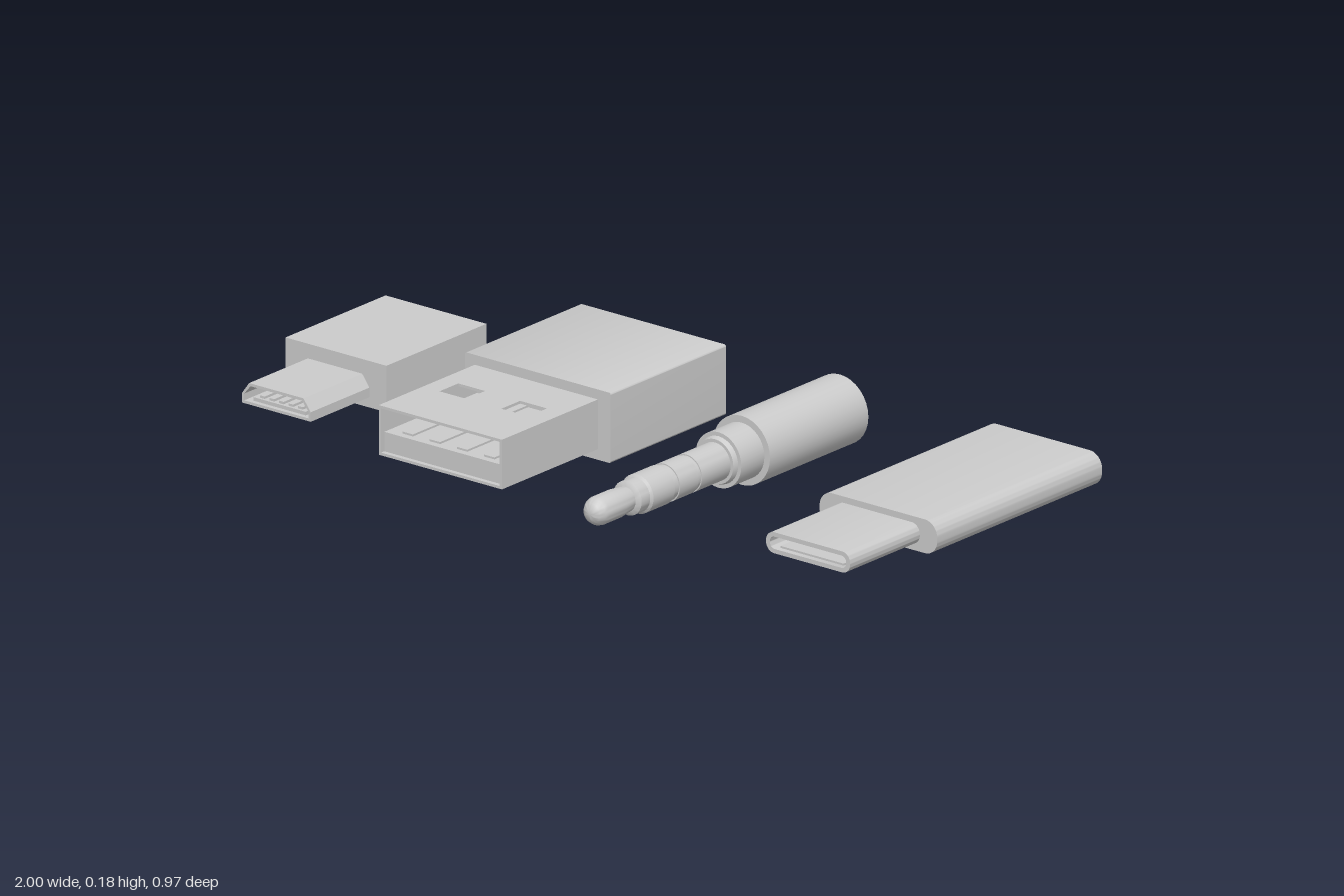
import * as THREE from 'three';
import { toCreasedNormals } from 'three/addons/utils/BufferGeometryUtils.js';

const material = new THREE.MeshStandardMaterial({ color: 0xcccccc });

function addMesh(parent, name, geometry) {
  const mesh = new THREE.Mesh(toCreasedNormals(geometry, 0.6), material);
  mesh.name = name;
  parent.add(mesh);
  return mesh;
}

// Rounded rectangle outline, usable as a Shape or as a hole
function roundRect(x0, x1, y0, y1, r) {
  const s = new THREE.Shape();
  const corners = [[x1 - r, y0 + r, -Math.PI / 2], [x1 - r, y1 - r, 0],
    [x0 + r, y1 - r, Math.PI / 2], [x0 + r, y0 + r, Math.PI]];
  s.moveTo(x0 + r, y0);
  for (const [x, y, a] of corners) s.absarc(x, y, r, a, a + Math.PI / 2, false);
  s.closePath();
  return s;
}

const polygon = (pts) => new THREE.Shape(pts.map(([x, y]) => new THREE.Vector2(x, y)));

// Extrude an xy outline from z0 to z1
function prism(shape, z0, z1) {
  const g = new THREE.ExtrudeGeometry(shape, { depth: z1 - z0, bevelEnabled: false, curveSegments: 8 });
  return g.translate(0, 0, z0);
}

// Box given by its limits
function box(x0, x1, y0, y1, z0, z1) {
  return new THREE.BoxGeometry(x1 - x0, y1 - y0, z1 - z0)
    .translate((x0 + x1) / 2, (y0 + y1) / 2, (z0 + z1) / 2);
}

function microPlug() {
  const g = new THREE.Group();
  g.name = 'microPlug';
  addMesh(g, 'microBody', box(-1, -0.692, 0.035, 0.152, -0.255, 0.118));
  // Chamfered hollow shell
  const cx = -0.849;
  const outline = (d) => [[cx - 0.105 + d, 0.061 + d], [cx + 0.105 - d, 0.061 + d],
    [cx + 0.105 - d, 0.085], [cx + 0.083 - d * 0.6, 0.115 - d],
    [cx - 0.083 + d * 0.6, 0.115 - d], [cx - 0.105 + d, 0.085]];
  const shell = polygon(outline(0));
  shell.holes.push(polygon(outline(0.007)));
  addMesh(g, 'microShell', prism(shell, 0.118, 0.337));
  // Inner tongue with contacts
  addMesh(g, 'microTongue', box(cx - 0.08, cx + 0.08, 0.068, 0.077, 0.118, 0.325));
  for (let i = -2; i <= 2; i++) {
    const x = cx + i * 0.029;
    addMesh(g, 'microContact', box(x - 0.007, x + 0.007, 0.077, 0.083, 0.118, 0.318));
  }
  return g;
}

function widePlug() {
  const g = new THREE.Group();
  g.name = 'widePlug';
  addMesh(g, 'wideBody', prism(roundRect(-0.565, -0.12, 0, 0.177, 0.005), -0.45, -0.02));
  const [x0, x1, y0, y1, z0, z1, t] = [-0.535, -0.159, 0.027, 0.152, -0.02, 0.338, 0.007];
  // Top and bottom plates with a pair of square windows
  for (const [name, y] of [['wideShellBottom', y0], ['wideShellTop', y1 - t]]) {
    const plate = polygon([[x0, -z1], [x1, -z1], [x1, -z0], [x0, -z0]]);
    for (const x of [-0.443, -0.254]) {
      plate.holes.push(polygon([[x - 0.041, -0.174], [x + 0.041, -0.174], [x + 0.041, -0.104], [x - 0.041, -0.104]]));
    }
    addMesh(g, name, prism(plate, 0, t).rotateX(-Math.PI / 2).translate(0, y, 0));
  }
  addMesh(g, 'wideShellSide', box(x0, x0 + t, y0 + t, y1 - t, z0, z1));
  addMesh(g, 'wideShellSide', box(x1 - t, x1, y0 + t, y1 - t, z0, z1));
  // Tongue filling the lower half, with four contacts
  addMesh(g, 'wideTongue', box(x0 + t, x1 - t, y0 + t, 0.083, z0, z1 - 0.012));
  for (let i = 0; i < 4; i++) {
    const x = -0.347 + (i - 1.5) * 0.083;
    addMesh(g, 'wideContact', box(x - 0.016, x + 0.016, 0.083, 0.088, z0, z1 - 0.03));
  }
  return g;
}

function audioJack() {
  const g = new THREE.Group();
  g.name = 'audioJack';
  const turned = (name, pts) => addMesh(g, name,
    new THREE.LatheGeometry(pts.map(([r, z]) => new THREE.Vector2(r, z)), 32)
      .rotateX(Math.PI / 2).translate(0.228, 0.096, 0));
  turned('jackGrip', [[0, -0.45], [0.087, -0.45], [0.087, -0.083], [0, -0.083]]);
  turned('jackCollar', [[0, -0.083], [0.07, -0.083], [0.07, 0.003], [0.06, 0.003], [0.056, 0.016], [0, 0.016]]);
  // Sleeve and rings, parted by narrow grooves
  turned('jackShaft', [[0, 0.016], [0.048, 0.016], [0.048, 0.123], [0.045, 0.123], [0.045, 0.135],
    [0.048, 0.135], [0.048, 0.205], [0.045, 0.205], [0.045, 0.225], [0.049, 0.225], [0.049, 0.305],
    [0.043, 0.31], [0.043, 0.342], [0.031, 0.35], [0, 0.35]]);
  turned('jackTip', [[0, 0.35], [0.031, 0.35], [0.036, 0.39], [0.036, 0.452], [0.033, 0.464],
    [0.025, 0.476], [0.013, 0.483], [0, 0.485]]);
  return g;
}

function ovalPlug() {
  const g = new THREE.Group();
  g.name = 'ovalPlug';
  addMesh(g, 'ovalBody', prism(roundRect(0.641, 1, 0.068, 0.153, 0.038), -0.485, 0.13));
  // Hollow oval shell, closed behind by the body
  const shell = roundRect(0.69, 0.947, 0.084, 0.137, 0.025);
  shell.holes.push(roundRect(0.702, 0.935, 0.095, 0.126, 0.0145));
  addMesh(g, 'ovalShell', prism(shell, 0.13, 0.39));
  // Contact strips on the upper and lower inner walls
  for (const y of [0.097, 0.124]) {
    addMesh(g, 'ovalContactStrip', box(0.722, 0.915, y - 0.003, y + 0.003, 0.13, 0.375));
  }
  return g;
}

export function createModel() {
  const model = new THREE.Group();
  model.name = 'connectorSet';
  model.add(microPlug(), widePlug(), audioJack(), ovalPlug());
  return model;
}
